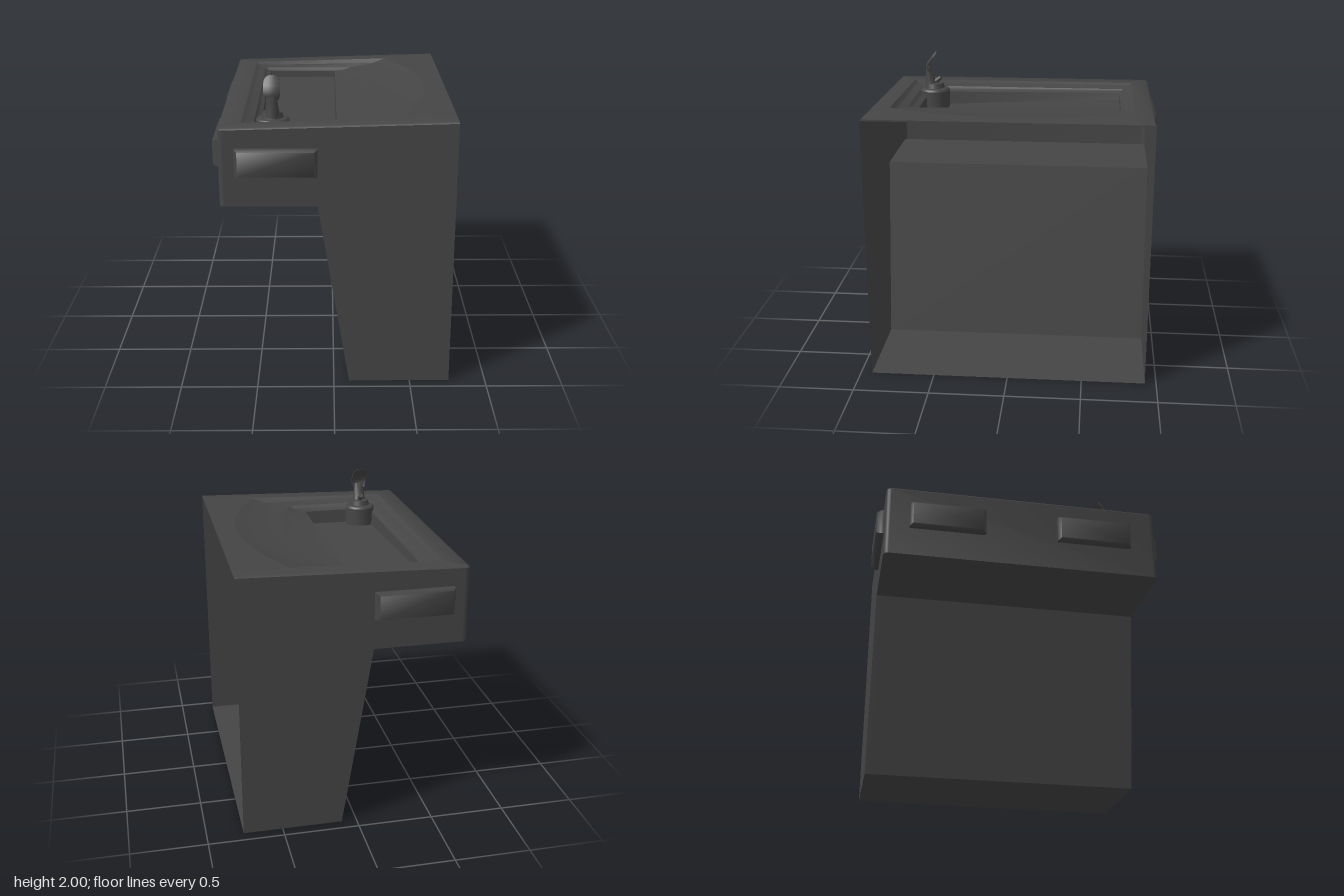
import * as THREE from 'three';
import { toCreasedNormals } from 'three/addons/utils/BufferGeometryUtils.js';

const metal = new THREE.MeshStandardMaterial({ color: 0x454545, side: THREE.DoubleSide });
const X0 = -0.71, X1 = 0.76, Z = 0.925;
const deckY = (x) => 1.742 + ((x - X0) / (X1 - X0)) * 0.04;

// Skin a list of equal-length cross-sections
function loft(rings, { closed = true, cap = false, crease = 0.5 } = {}) {
  const n = rings[0].length, index = [];
  for (let r = 0; r < rings.length - 1; r++) {
    for (let i = 0; i < (closed ? n : n - 1); i++) {
      const a = r * n + i, b = r * n + (i + 1) % n;
      index.push(a, b, b + n, a, b + n, a + n);
    }
  }
  const points = rings.flat();
  if (cap) {
    const last = rings[rings.length - 1], base = (rings.length - 1) * n;
    points.push([0, 1, 2].map((k) => last.reduce((s, p) => s + p[k], 0) / n));
    for (let i = 0; i < n; i++) index.push(base + i, base + (i + 1) % n, points.length - 1);
  }
  const g = new THREE.BufferGeometry();
  g.setAttribute('position', new THREE.Float32BufferAttribute(points.flat(), 3));
  g.setIndex(index);
  return toCreasedNormals(g, crease);
}

// Rounded pair of corners along the x = xl edge, running from -z to +z
function frontEdge(xl, z0, z1, r) {
  const pts = [];
  for (const [zc, start] of [[z0 + r, -Math.PI / 2], [z1 - r, 0]]) {
    for (let i = 0; i <= 4; i++) {
      const a = start + (i / 4) * Math.PI / 2;
      pts.push([xl + r - Math.cos(a) * r, zc + Math.sin(a) * r]);
    }
  }
  return pts;
}

// Plan outline with a bowed +x side, lifted by a height rule
function outline(xl, xr, bulge, z0, z1, r, height) {
  const pts = frontEdge(xl, z0, z1, r);
  for (let i = 0; i <= 20; i++) {
    const t = i / 20;
    pts.push([xr + bulge * (1 - (2 * t - 1) ** 2), z1 + (z0 - z1) * t]);
  }
  return pts.map(([x, z]) => [x, height(x, z), z]);
}

// Ring part of the way between two others, with its own fraction for height
const between = (a, b, t, ty) => a.map((p, i) => p.map((v, k) => v + (b[i][k] - v) * (k === 1 ? ty : t)));

function add(parent, name, geometry) {
  const mesh = new THREE.Mesh(geometry, metal);
  mesh.name = name;
  parent.add(mesh);
  return mesh;
}

// Softly bulging push bar facing +z
function pushBar(parent, name) {
  const rect = (w, h, z) => [[-w, -h, z], [w, -h, z], [w, h, z], [-w, h, z]];
  return add(parent, name, loft([
    rect(0.255, 0.09, 0), rect(0.255, 0.09, 0.02), rect(0.235, 0.078, 0.052),
  ], { cap: true, crease: 1.3 }));
}

function buildCabinet(group) {
  // Front, underside, sloping wall and base, open on the +x side
  const edge = frontEdge(X0, -Z, Z, 0.03);
  const row = (x, y) => edge.map(([, z]) => [x, y, z]);
  add(group, 'cabinetShell', loft([
    edge.map(([x, z]) => [x, deckY(x) - 0.01, z]),
    edge.map(([x, z]) => [x, 1.24, z]),
    row(-0.1, 1.24), row(0.1, 0), row(X1, 0),
  ], { closed: false }));

  // Side panels
  const xs = X0 + 0.03;
  const side = new THREE.Shape([
    [X1, 0], [X1, deckY(X1) - 0.01], [xs, deckY(xs) - 0.01], [xs, 1.24], [-0.1, 1.24], [0.1, 0],
  ].map(([x, y]) => new THREE.Vector2(x, y)));
  for (const s of [1, -1]) {
    const panel = add(group, s > 0 ? 'frontSidePanel' : 'backSidePanel', new THREE.ShapeGeometry(side));
    panel.position.z = s * Z;
    // turn the far panel so that it faces outward
    if (s < 0) {
      panel.geometry.setIndex(Array.from(panel.geometry.index.array).reverse());
      panel.geometry.computeVertexNormals();
    }
  }
}

function buildTop(group) {
  const tilt = (lo, hi) => (x, z) => lo + (hi - lo) * (0.67 - z) / 1.39;
  // Deck with softened rim
  const rim = outline(X0, X1, 0, -Z, Z, 0.03, (x) => deckY(x) - 0.01);
  const deckEdge = outline(X0 + 0.01, X1, 0, -Z + 0.01, Z - 0.01, 0.03, deckY);
  const bowl = outline(-0.57, 0.4, 0.22, -0.8, 0.8, 0.002, deckY);
  add(group, 'deck', loft([rim, deckEdge, bowl], { crease: 0.9 }));

  // Two hollowed steps lead down to the sloping drain tray
  const shelf = outline(-0.5, 0.13, 0.15, -0.74, 0.73, 0.002, () => 1.715);
  const lip = outline(-0.462, 0.02, 0, -0.72, 0.675, 0.002, tilt(1.68, 1.695));
  const floor = outline(-0.455, 0.015, 0, -0.715, 0.67, 0.002, tilt(1.585, 1.65));
  add(group, 'outerBasin', loft([bowl, between(bowl, shelf, 0.35, 0.55), shelf]));
  add(group, 'innerBasin', loft([shelf, between(shelf, lip, 0.35, 0.55), lip]));
  add(group, 'trayWall', loft([lip, floor]));
  add(group, 'drainTray', loft([floor], { cap: true }));
}

function buildBubbler(group) {
  const bubbler = new THREE.Group();
  bubbler.name = 'bubbler';
  bubbler.position.set(-0.385, 0, 0.625);
  group.add(bubbler);

  // Pedestal sleeve, open below
  const profile = [[0.106, 1.565], [0.106, 1.715], [0.095, 1.728], [0.07, 1.732], [0.06, 1.765], [0, 1.77]];
  add(bubbler, 'pedestal', toCreasedNormals(new THREE.LatheGeometry(
    profile.map(([r, y]) => new THREE.Vector2(r, y)), 32), 0.6));

  // Tapered neck: height, centre z, half width, half depth
  const neck = [[1.74, 0.02, 0.05, 0.055], [1.79, 0.032, 0.042, 0.036],
    [1.84, 0.04, 0.036, 0.024], [1.88, 0.048, 0.03, 0.014]];
  add(bubbler, 'neck', loft(neck.map(([y, zc, w, d]) => Array.from({ length: 20 }, (_, i) => {
    const a = -i / 20 * Math.PI * 2;
    return [Math.cos(a) * w, y, zc + Math.sin(a) * d];
  })), { cap: true, crease: 0.8 }));

  // Curled mouth guard: height, z, half width
  const guard = [[1.85, 0.05, 0.042], [1.88, 0.06, 0.051], [1.91, 0.055, 0.053], [1.94, 0.037, 0.053],
    [1.965, 0.017, 0.052], [1.985, 0.002, 0.042], [1.995, -0.006, 0.027], [2.0, -0.01, 0.008]];
  add(bubbler, 'mouthGuard', loft(guard.map(([y, z, w]) => {
    const loop = [];
    for (let i = 0; i <= 8; i++) {
      const t = i / 4 - 1;
      loop.push([t * w, y, z - 0.012 * t * t * w / 0.053]);
    }
    return loop.concat(loop.slice().reverse().map(([x, yy, zz]) => [x, yy, zz - 0.009]));
  }), { cap: true, crease: 0.9 }));

  // Water nozzle
  const nozzle = add(bubbler, 'nozzle', new THREE.CylinderGeometry(0.014, 0.02, 0.05, 16));
  nozzle.position.set(0, 1.79, -0.025);
  nozzle.rotation.x = -0.9;
}

export function createModel() {
  const group = new THREE.Group();
  group.name = 'drinkingFountain';
  buildCabinet(group);
  buildTop(group);
  buildBubbler(group);

  // Push bars on both sides and a pair on the user's side
  const y = 1.53;
  for (const s of [1, -1]) {
    const sideBar = pushBar(group, 'sidePushBar');
    sideBar.position.set(-0.355, y, s * Z);
    sideBar.rotation.y = s > 0 ? 0 : Math.PI;
    const facingBar = pushBar(group, 'facingPushBar');
    facingBar.position.set(X0, y, s > 0 ? 0.49 : -0.51);
    facingBar.rotation.y = -Math.PI / 2;
  }
  return group;
}
